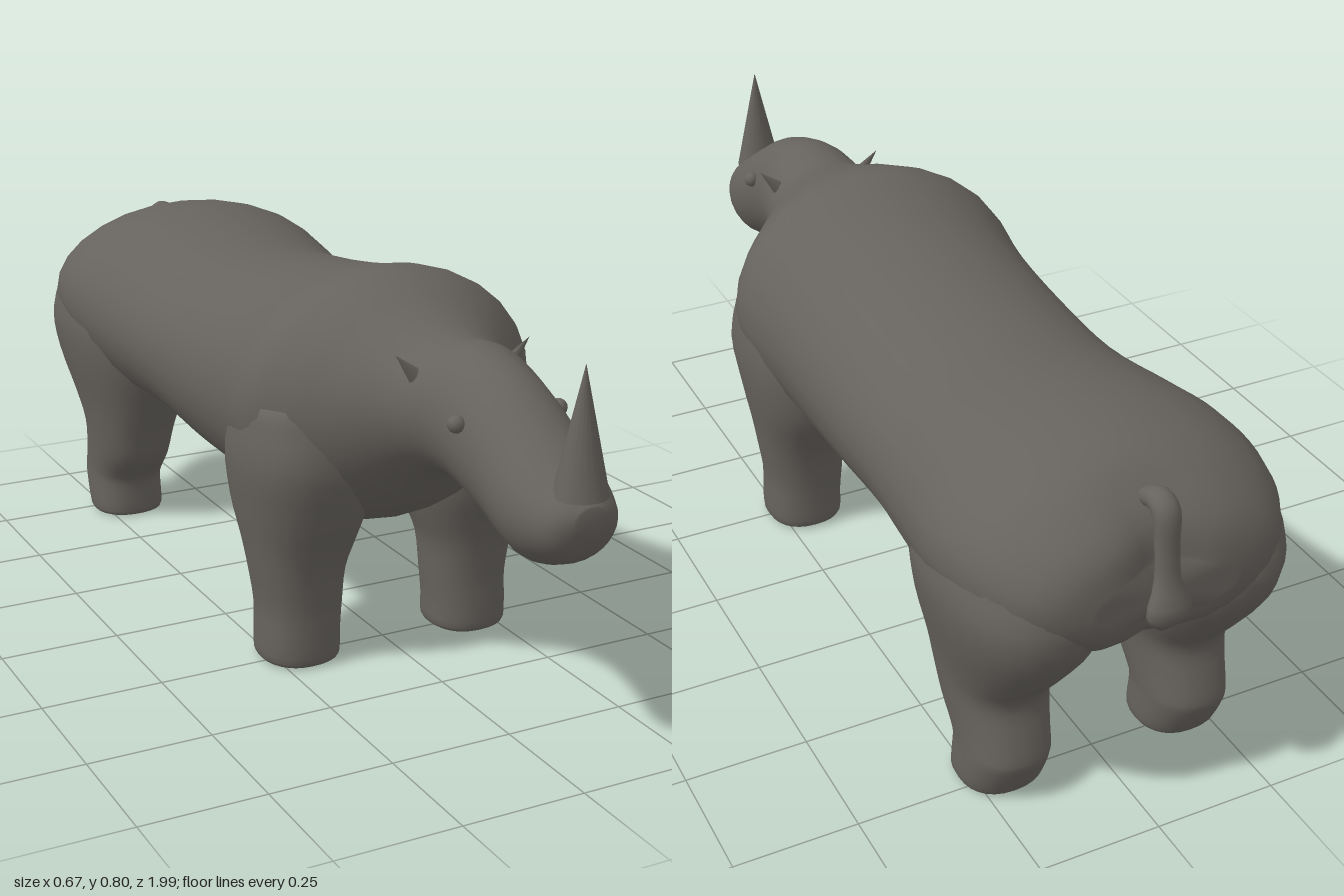
import * as THREE from 'three';

const SIDES = 28;
const hide = new THREE.MeshStandardMaterial({ color: 0x66625d });
hide.name = 'grey hide';

// Catmull-Rom refinement of a table of section values
function refine(rows, steps) {
  const out = [];
  const at = i => rows[Math.max(0, Math.min(rows.length - 1, i))];
  for (let i = 0; i < rows.length - 1; i++) {
    for (let s = 0; s < steps; s++) {
      const t = s / steps;
      out.push(rows[i].map((_, k) => {
        const a = at(i - 1)[k], b = at(i)[k], c = at(i + 1)[k], d = at(i + 2)[k];
        return b + 0.5 * t * (c - a + t * (2 * a - 5 * b + 4 * c - d + t * (3 * (b - c) + d - a)));
      }));
    }
  }
  out.push(rows[rows.length - 1]);
  return out;
}

// Skin closed rings, each made by point(section, angle), and cap both ends
function loft(name, sections, point) {
  const pos = [], index = [], n = SIDES;
  sections.forEach(s => {
    for (let j = 0; j < n; j++) pos.push(...point(s, j / n * Math.PI * 2));
  });
  const last = (sections.length - 1) * n;
  for (let i = 0; i < sections.length - 1; i++) {
    for (let j = 0; j < n; j++) {
      const a = i * n + j, b = i * n + (j + 1) % n;
      index.push(a, b, a + n, b, b + n, a + n);
    }
  }
  for (const [start, flip] of [[0, true], [last, false]]) {
    const c = [0, 0, 0];
    for (let j = 0; j < n; j++) for (let k = 0; k < 3; k++) c[k] += pos[(start + j) * 3 + k] / n;
    const centre = pos.length / 3;
    pos.push(...c);
    for (let j = 0; j < n; j++) {
      const a = start + j, b = start + (j + 1) % n;
      index.push(centre, flip ? b : a, flip ? a : b);
    }
  }
  const g = new THREE.BufferGeometry();
  g.setAttribute('position', new THREE.Float32BufferAttribute(pos, 3));
  g.setIndex(index);
  g.computeVertexNormals();
  const mesh = new THREE.Mesh(g, hide);
  mesh.name = name;
  return mesh;
}

// Torso, neck and head: z, top, bottom, half width
const BODY = [
  [-0.97, 0.57, 0.46, 0.14], [-0.955, 0.63, 0.42, 0.215], [-0.91, 0.68, 0.38, 0.275],
  [-0.82, 0.73, 0.35, 0.32], [-0.69, 0.75, 0.32, 0.337], [-0.55, 0.742, 0.295, 0.32],
  [-0.36, 0.717, 0.292, 0.3], [-0.15, 0.735, 0.268, 0.298], [0.08, 0.766, 0.262, 0.305],
  [0.25, 0.8, 0.27, 0.325], [0.34, 0.785, 0.305, 0.28], [0.42, 0.753, 0.365, 0.215],
  [0.52, 0.722, 0.448, 0.142], [0.62, 0.73, 0.466, 0.118], [0.74, 0.695, 0.432, 0.108],
  [0.85, 0.628, 0.395, 0.106], [0.92, 0.582, 0.409, 0.092], [0.965, 0.555, 0.438, 0.068],
  [0.988, 0.535, 0.49, 0.03],
];

function bodyPoint([z, top, bottom, w], a) {
  const x = w * Math.cos(a);
  const y = (top + bottom) / 2 + (top - bottom) / 2 * Math.sin(a);
  // cleft between the haunches
  const rear = THREE.MathUtils.smoothstep(-z, 0.78, 0.97);
  return [x, y, z + 0.035 * rear * Math.exp(-((x / 0.06) ** 2))];
}

// Legs: y, inner x, outer x, back z, front z
const FRONT_LEG = [
  [0, 0.125, 0.268, 0.17, 0.32], [0.012, 0.113, 0.281, 0.156, 0.33],
  [0.06, 0.112, 0.282, 0.155, 0.331], [0.12, 0.107, 0.281, 0.152, 0.331],
  [0.2, 0.1, 0.292, 0.139, 0.341], [0.26, 0.08, 0.301, 0.115, 0.358],
  [0.34, 0.06, 0.315, 0.08, 0.388], [0.45, 0.07, 0.327, 0.08, 0.41],
  [0.56, 0.1, 0.31, 0.13, 0.37],
];
const HIND_LEG = [
  [0, 0.125, 0.268, -0.795, -0.65], [0.012, 0.113, 0.281, -0.808, -0.64],
  [0.08, 0.112, 0.281, -0.84, -0.64], [0.11, 0.11, 0.281, -0.843, -0.625],
  [0.16, 0.105, 0.285, -0.832, -0.585], [0.23, 0.095, 0.293, -0.82, -0.562],
  [0.3, 0.075, 0.305, -0.87, -0.535], [0.4, 0.05, 0.328, -0.94, -0.5],
  [0.49, 0.05, 0.337, -0.955, -0.5], [0.58, 0.09, 0.315, -0.91, -0.55],
];

function leg(name, rows, side) {
  return loft(name, refine(rows, 3), ([y, x0, x1, z0, z1], a) => {
    // slightly squared oval
    const c = Math.cos(a), s = Math.sin(a);
    const px = Math.sign(c) * Math.abs(c) ** 0.85, pz = -Math.sign(s) * Math.abs(s) ** 0.85;
    return [side * (x0 + x1) / 2 + px * (x1 - x0) / 2, y, (z0 + z1) / 2 + pz * (z1 - z0) / 2];
  });
}

// Tail: y, z, half width, half depth, ring direction y, z
const TAIL = [
  [0.67, -0.87, 0.02, 0.02, 0, -1], [0.69, -0.915, 0.025, 0.022, 0, -1],
  [0.675, -0.945, 0.026, 0.022, -0.7, -0.7], [0.62, -0.952, 0.024, 0.018, -1, 0],
  [0.55, -0.962, 0.026, 0.018, -1, 0], [0.485, -0.975, 0.045, 0.024, -1, 0],
  [0.435, -0.955, 0.006, 0.006, -1, 0],
];

export function createModel() {
  const group = new THREE.Group();
  group.name = 'rhinoceros';
  group.add(loft('body', refine(BODY, 4), bodyPoint));

  for (const side of [1, -1]) {
    const label = side > 0 ? 'left' : 'right';
    group.add(leg(label + 'FrontLeg', FRONT_LEG, side));
    group.add(leg(label + 'HindLeg', HIND_LEG, side));

    const eye = new THREE.Mesh(new THREE.SphereGeometry(0.017, 12, 8), hide);
    eye.name = label + 'Eye';
    eye.position.set(side * 0.108, 0.62, 0.712);
    group.add(eye);

    // small pointed ear, thin from front to back
    const ear = new THREE.Mesh(new THREE.ConeGeometry(0.017, 0.065, 8), hide);
    ear.name = label + 'Ear';
    ear.position.set(side * 0.122, 0.686, 0.553);
    ear.rotation.z = -side * 0.75;
    ear.scale.z = 0.7;
    group.add(ear);
  }

  const horn = new THREE.Mesh(new THREE.ConeGeometry(0.052, 0.235, 20), hide);
  horn.name = 'horn';
  horn.position.set(0, 0.6625, 0.948);
  horn.scale.z = 0.9;
  group.add(horn);

  group.add(loft('tail', refine(TAIL, 3), ([y, z, w, d, ty, tz], a) => {
    const l = Math.hypot(ty, tz), s = d * Math.sin(a) / l;
    return [w * Math.cos(a), y + tz * s, z - ty * s];
  }));
  return group;
}
